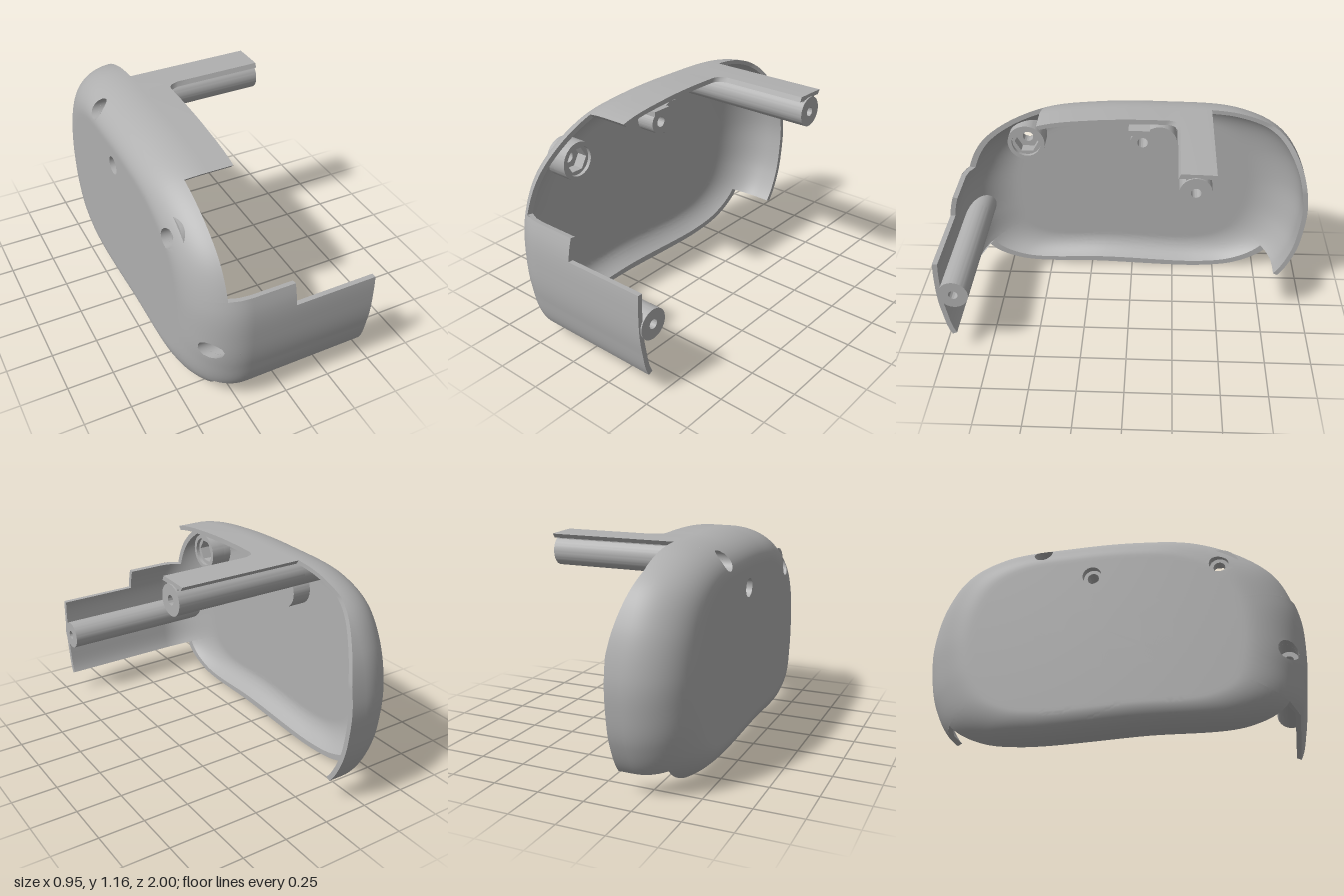
import * as THREE from 'three';
import { toCreasedNormals } from 'three/addons/utils/BufferGeometryUtils.js';

// Built in a local frame: X across the cover, Y up, Z its depth; turned into place at the end.
const CY = 0.56, FLAT = 0.71, ROUND = 1 - FLAT;
const OUTER = { inset: 0, floor: -0.475, depth: 0.27 };
const INNER = { inset: 0.027, floor: -0.445, depth: 0.24 };
const HOLES = [[0.335, 1.06], [-0.91, 0.395], [-0.6, 0.88], [0.06, 0.88]];
const HOLE_R = 0.05;

// Outline of the cover, as a radius for each direction
const outline = new THREE.CatmullRomCurve3([
  [0.995, 0.62], [0.94, 0.85], [0.82, 1.03], [0.6, 1.132], [0.18, 1.16], [-0.2, 1.152], [-0.5, 1.11],
  [-0.75, 0.995], [-0.9, 0.86], [-0.985, 0.66], [-1, 0.45], [-0.985, 0.28], [-0.93, 0.1], [-0.74, 0],
  [-0.2, -0.015], [0.46, -0.03], [0.69, 0.01], [0.86, 0.11], [0.955, 0.28], [0.99, 0.45],
].map(([x, y]) => new THREE.Vector3(x, y - CY, 0)), true);
const TAU = Math.PI * 2;
const wrap = (a) => ((a % TAU) + TAU) % TAU;
const polar = outline.getPoints(600).slice(0, 600)
  .map((p) => [wrap(Math.atan2(p.y, p.x)), Math.hypot(p.x, p.y)]).sort((p, q) => p[0] - q[0]);
function radius(angle) {
  const a = wrap(angle), n = polar.length;
  let i = polar.findIndex((p) => p[0] > a);
  if (i < 0) i = 0;
  const p = polar[(i + n - 1) % n], q = polar[i];
  const span = wrap(q[0] - p[0]);
  return p[1] + (q[1] - p[1]) * (span > 0 ? wrap(a - p[0]) / span : 0);
}

// Depth of the dished surface above a point
function height(x, y, s) {
  const rho = Math.hypot(x, y - CY) / (radius(Math.atan2(y - CY, x)) - s.inset);
  const k = Math.min(1, Math.max(0, (rho - FLAT) / ROUND));
  return s.floor + s.depth * (1 - Math.sqrt(1 - k * k));
}
const at = (a, rho, z, s) => {
  const r = rho * (radius(a) - s.inset);
  return new THREE.Vector3(Math.cos(a) * r, CY + Math.sin(a) * r, z);
};
const bend = (z, s) => Math.acos(Math.min(1, Math.max(0, 1 - (z - s.floor) / s.depth)));
const edge = (a, z, s) => at(a, FLAT + ROUND * Math.sin(bend(z, s)), z, s);

// Height of the rim, one section of the edge after another
const backRim = (x, y) => {
  const t = Math.max(0, (y - 0.71) / 0.27);
  return Math.max(-0.21, -0.12 - 0.06 * t * (0.6 + 0.4 * t));
};
const topRim = (x) => {
  const q = Math.min(1, Math.max(0, (x - 0.2) / 0.06));
  return -0.07 + 0.06 * (1 - Math.sqrt(1 - q * q));
};
const sections = [
  [0.87, 0.12, backRim], [0.43, 1.15, () => 0.468], [0.26, 1.157, topRim], [-0.5, 1.11, () => -0.32],
  [-0.972, 0.71, () => 0.02], [-0.99, 0.59, () => 0.468], [-0.94, 0.12, () => -0.36],
].map(([x, y, rim]) => ({ a: Math.atan2(y - CY, x), rim }));
sections.forEach((s, i) => { if (i && s.a < sections[i - 1].a) s.a += TAU; });
const rimAt = (s, a) => {
  const p = at(a, 1, 0, OUTER);
  return s.rim(p.x, p.y);
};

function shellGeometry() {
  const out = [];
  const ab = new THREE.Vector3(), ac = new THREE.Vector3();
  const tri = (a, b, c) => {
    if (a.cut && b.cut && c.cut) return;
    if (ab.subVectors(b, a).cross(ac.subVectors(c, a)).length() < 1e-9) return;
    for (const p of [a, b, c]) out.push(p.x, p.y, p.z);
  };
  const quad = (a, b, c, d) => { tri(a, b, c); tri(a, c, d); };

  // One radial line of points from the centre to the rim, kept clear of the screw holes
  const column = (a, top, s) => {
    const pts = [0, 0.2, 0.36].map((r) => at(a, r, s.floor, s));
    for (let r = 0.38; r < FLAT - 0.01; r += 0.02) pts.push(at(a, r, s.floor, s));
    const end = bend(top, s);
    for (let i = 0; i <= 18; i++) {
      const f = end * i / 18;
      pts.push(at(a, FLAT + ROUND * Math.sin(f), s.floor + s.depth * (1 - Math.cos(f)), s));
    }
    for (const p of pts) {
      for (const [hx, hy] of HOLES) {
        const dx = p.x - hx, dy = p.y - hy, d = Math.hypot(dx, dy);
        if (d < HOLE_R && d > 0) {
          p.set(hx + dx * HOLE_R / d, hy + dy * HOLE_R / d, 0);
          p.z = height(p.x, p.y, s);
          p.cut = true;
        }
      }
    }
    pts.push(edge(a, top, s));
    return pts;
  };

  sections.forEach((sec, i) => {
    const next = sections[(i + 1) % sections.length];
    const end = i + 1 < sections.length ? next.a : next.a + TAU;
    const n = Math.ceil((end - sec.a) / 0.021);
    let prev = null;
    for (let j = 0; j <= n; j++) {
      const a = sec.a + (end - sec.a) * j / n;
      const top = rimAt(sec, a);
      const cur = [column(a, top, OUTER), column(a, top, INNER)];
      if (prev) {
        const m = cur[0].length - 1;
        for (let k = 0; k < m; k++) {
          quad(prev[0][k], cur[0][k], cur[0][k + 1], prev[0][k + 1]);
          quad(prev[1][k], prev[1][k + 1], cur[1][k + 1], cur[1][k]);
        }
        quad(prev[0][m], cur[0][m], cur[1][m], prev[1][m]);
      }
      prev = cur;
    }
    // End face where the rim steps up or down
    const from = rimAt(sec, end), to = rimAt(next, end);
    for (let k = 0; k < 6; k++) {
      const z0 = from + (to - from) * k / 6, z1 = from + (to - from) * (k + 1) / 6;
      quad(edge(end, z0, OUTER), edge(end, z1, OUTER), edge(end, z1, INNER), edge(end, z0, INNER));
    }
  });
  const g = new THREE.BufferGeometry();
  g.setAttribute('position', new THREE.Float32BufferAttribute(out, 3));
  return toCreasedNormals(g, 0.6);
}

const circle = (x, y, r, Type = THREE.Shape) => new Type().absarc(x, y, r, 0, TAU, false);

export function createModel() {
  const model = new THREE.Group();
  const cover = new THREE.Group();
  cover.name = 'cover';
  cover.rotation.y = Math.PI / 2;
  model.add(cover);
  const grey = new THREE.MeshStandardMaterial({ color: 0xb0b0b0, side: THREE.DoubleSide });
  grey.name = 'grey plastic';

  const add = (name, geometry) => {
    const mesh = new THREE.Mesh(geometry, grey);
    mesh.name = name;
    cover.add(mesh);
    return mesh;
  };
  const extrude = (name, shape, hole, z0, z1) => {
    if (hole) shape.holes.push(hole);
    const g = new THREE.ExtrudeGeometry(shape, { depth: z1 - z0, bevelEnabled: false, curveSegments: 32 });
    g.translate(0, 0, z0);
    add(name, toCreasedNormals(g, 0.6));
  };
  // Open tube from the outer surface up to z1
  const tube = (name, x, y, r, z1, lift) => {
    const g = new THREE.CylinderGeometry(r, r, 1, 40, 1, true).rotateX(Math.PI / 2).translate(x, y, 0);
    const p = g.attributes.position;
    for (let i = 0; i < p.count; i++) {
      p.setZ(i, p.getZ(i) > 0 ? z1 : Math.min(z1, height(p.getX(i), p.getY(i), OUTER) + lift));
    }
    add(name, g);
  };

  add('shell', shellGeometry());

  // Two long screw pillars, each joined to the wall by a web
  HOLES.slice(0, 2).forEach(([x, y], i) => {
    extrude('pillar', circle(x, y, 0.08), circle(x, y, 0.025, THREE.Path), -0.27, 0.475);
    tube('pillarFoot', x, y, 0.08, -0.27, 0.012);
    tube('screwRecess', x, y, HOLE_R, -0.27, 0);
    const web = add('pillarWeb', i ? new THREE.BoxGeometry(0.045, 0.1, 0.7) : new THREE.BoxGeometry(0.1, 0.045, 0.7));
    web.position.set(i ? x - 0.052 : x, i ? y : y + 0.058, 0.115);
  });

  // Nut post with a six-sided socket
  const [nx, ny] = HOLES[2];
  const hex = new THREE.Path();
  hex.setFromPoints(Array.from({ length: 6 }, (_, i) => new THREE.Vector2(
    nx + 0.068 * Math.cos(i * Math.PI / 3), ny + 0.068 * Math.sin(i * Math.PI / 3))));
  hex.closePath();
  extrude('nutPostFloor', circle(nx, ny, 0.105), circle(nx, ny, 0.03, THREE.Path), -0.425, -0.38);
  extrude('nutSocket', circle(nx, ny, 0.09), hex, -0.38, -0.32);
  extrude('nutPostRim', circle(nx, ny, 0.105), circle(nx, ny, 0.082, THREE.Path), -0.38, -0.3);
  tube('nutPostRecess', nx, ny, HOLE_R, -0.425, 0);

  // Double-lobed post with its stop bar
  const [lx, ly] = HOLES[3];
  const lobes = new THREE.Shape();
  lobes.absarc(lx + 0.095, ly, 0.1, Math.PI + 0.732 - Math.PI * 2 + 0.0, Math.PI - 0.732, false);
  lobes.curves.length = 0;
  lobes.absarc(lx + 0.095, ly, 0.1, -(Math.PI - 0.732), Math.PI - 0.732, false);
  lobes.absarc(lx, ly, 0.07, Math.PI - 1.87, Math.PI + 1.87, false);
  extrude('lobedPost', lobes, circle(lx, ly, 0.03, THREE.Path), -0.44, -0.33);
  tube('lobedPostRecess', lx, ly, HOLE_R, -0.44, 0);
  add('stopBar', new THREE.BoxGeometry(0.12, 0.03, 0.14)).position.set(0.04, 0.955, -0.37);

  return model;
}
